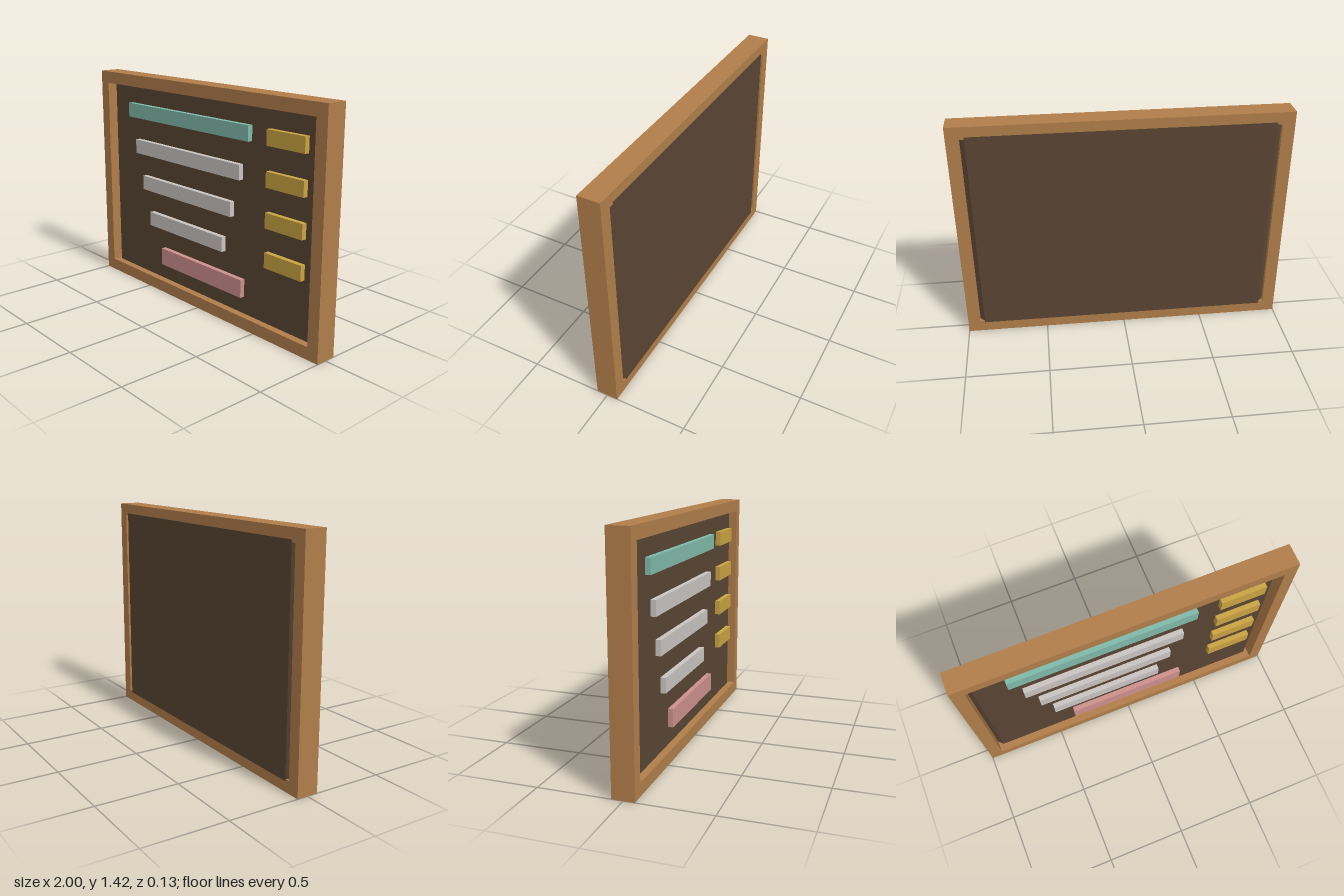
import * as THREE from 'three';

const material = (name, color) => {
  const m = new THREE.MeshStandardMaterial({ color });
  m.name = name;
  return m;
};

export function createModel() {
  const group = new THREE.Group();
  group.name = 'menuBoard';
  const wood = material('wood', 0xb07d4a);
  const dark = material('darkBrown', 0x594533);
  const teal = material('teal', 0x80b9a9);
  const white = material('offWhite', 0xc9c4c0);
  const gold = material('gold', 0xc9a343);
  const pink = material('pink', 0xcc8f8d);

  const add = (name, geometry, mat) => {
    const mesh = new THREE.Mesh(geometry, mat);
    mesh.name = name;
    group.add(mesh);
    return mesh;
  };

  const rectangle = (Type, x, y0, y1) => {
    const p = new Type();
    p.moveTo(-x, y0);
    p.lineTo(x, y0);
    p.lineTo(x, y1);
    p.lineTo(-x, y1);
    p.closePath();
    return p;
  };

  // Wooden frame around an open rectangle
  const H = 1.417, D = 0.133, border = 0.076;
  const outline = rectangle(THREE.Shape, 1, 0, H);
  outline.holes.push(rectangle(THREE.Path, 1 - border, border, H - border));
  const frameGeo = new THREE.ExtrudeGeometry(outline, { depth: D, bevelEnabled: false });
  frameGeo.translate(0, 0, -D / 2);
  add('frame', frameGeo, wood);

  // Backing panel with chamfered left and right edges, flush with the back
  const front = 0.021, back = -0.067, mid = (front + back) / 2;
  const section = new THREE.Shape([
    [-0.895, -front], [0.895, -front], [0.94, -mid],
    [0.895, -back], [-0.895, -back], [-0.94, -mid],
  ].map(([x, y]) => new THREE.Vector2(x, y)));
  const y0 = 0.062;
  const panelGeo = new THREE.ExtrudeGeometry(section, { depth: H - 2 * y0, bevelEnabled: false });
  panelGeo.rotateX(-Math.PI / 2);
  panelGeo.translate(0, y0, 0);
  add('backPanel', panelGeo, dark);

  // Raised bars on the panel
  const bar = (name, x0, x1, y, h, mat) => {
    const z0 = 0.01, z1 = 0.053;
    const mesh = add(name, new THREE.BoxGeometry(x1 - x0, h, z1 - z0), mat);
    mesh.position.set((x0 + x1) / 2, y, (z0 + z1) / 2);
  };
  for (let i = 0; i < 4; i++) {
    const y = 1.182 - i * 0.2355;
    const half = 0.567 - i * 0.0707;
    bar(i ? 'itemBar' : 'headingBar', -0.143 - half, -0.143 + half, y, 0.092, i ? white : teal);
    bar('priceBar', 0.567, 0.846, y, 0.092, gold);
  }
  bar('footerBar', -0.378, 0.378, 0.241, 0.112, pink);

  return group;
}
